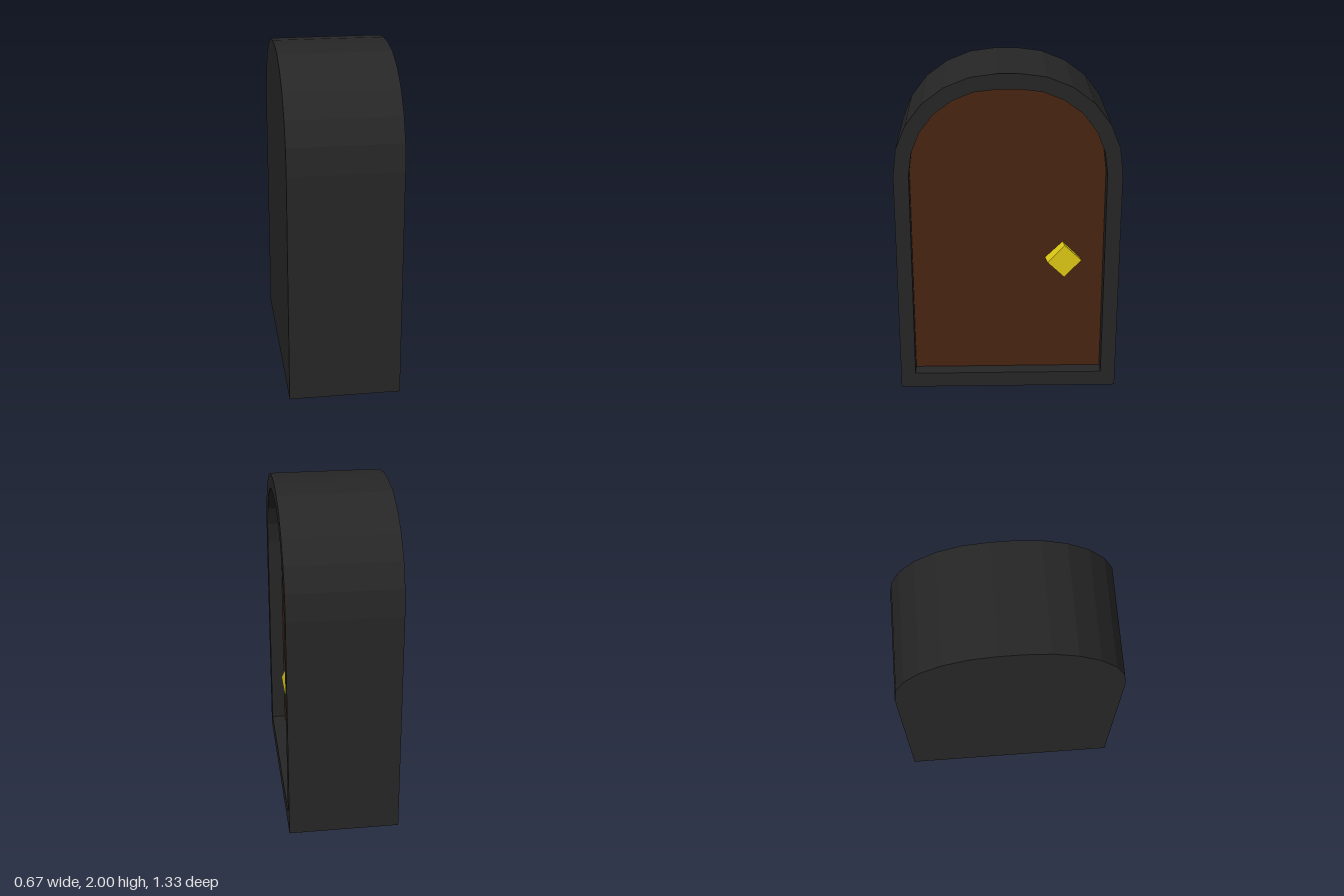
import * as THREE from 'three';

// Half of each arch, from the spring line to the crown: [sideways, height]
const OUTER = [[0.667, 1.4], [0.647, 1.56], [0.589, 1.7], [0.493, 1.825], [0.366, 1.92], [0.218, 1.98], [0.065, 2]];
const INNER = [[0.577, 1.4], [0.559, 1.535], [0.508, 1.658], [0.428, 1.764], [0.32, 1.844], [0.196, 1.894], [0.056, 1.91]];

const HALF_DEPTH = 0.333;
const DOOR_X = 0.245;

// Closed arch outline, mirrored about the centre
function archPoints(half, bottom) {
  const side = [[half[0][0], bottom], ...half];
  const mirrored = side.map(([s, y]) => [-s, y]).reverse();
  return [...side, ...mirrored].map(([s, y]) => new THREE.Vector2(s, y));
}

// Extrude a shape along x between two depths
function extrudeX(shape, x0, x1) {
  return new THREE.ExtrudeGeometry(shape, { depth: x1 - x0, bevelEnabled: false })
    .rotateY(Math.PI / 2)
    .translate(x0, 0, 0);
}

export function createModel() {
  const stone = new THREE.MeshStandardMaterial({ name: 'charcoal', color: 0x262626 });
  const wood = new THREE.MeshStandardMaterial({ name: 'dark wood', color: 0x472410 });
  const brass = new THREE.MeshStandardMaterial({ name: 'yellow brass', color: 0xdfca14 });
  const model = new THREE.Group();
  model.name = 'archedDoor';

  function add(name, geometry, material) {
    const mesh = new THREE.Mesh(geometry, material);
    mesh.name = name;
    model.add(mesh);
    return mesh;
  }

  // Solid block behind the door
  const outer = archPoints(OUTER, 0);
  add('body', extrudeX(new THREE.Shape(outer), -HALF_DEPTH, DOOR_X), stone);

  // Raised rim around the recess
  const rim = new THREE.Shape(outer);
  const inner = archPoints(INNER, 0.095);
  rim.holes.push(new THREE.Path(inner));
  add('frame', extrudeX(rim, DOOR_X, HALF_DEPTH), stone);

  // Door panel at the back of the recess
  add('doorPanel', extrudeX(new THREE.Shape(inner), DOOR_X - 0.002, DOOR_X + 0.002), wood);

  // Four-sided knob standing on its corner, slightly turned
  const knobGeometry = new THREE.CylinderGeometry(0.104, 0.104, 0.1, 4).toNonIndexed();
  knobGeometry.computeVertexNormals();
  knobGeometry.rotateZ(-Math.PI / 2);
  const knob = add('knob', knobGeometry, brass);
  knob.position.set(0.262, 0.84, -0.332);
  knob.rotation.y = 0.15;

  return model;
}
